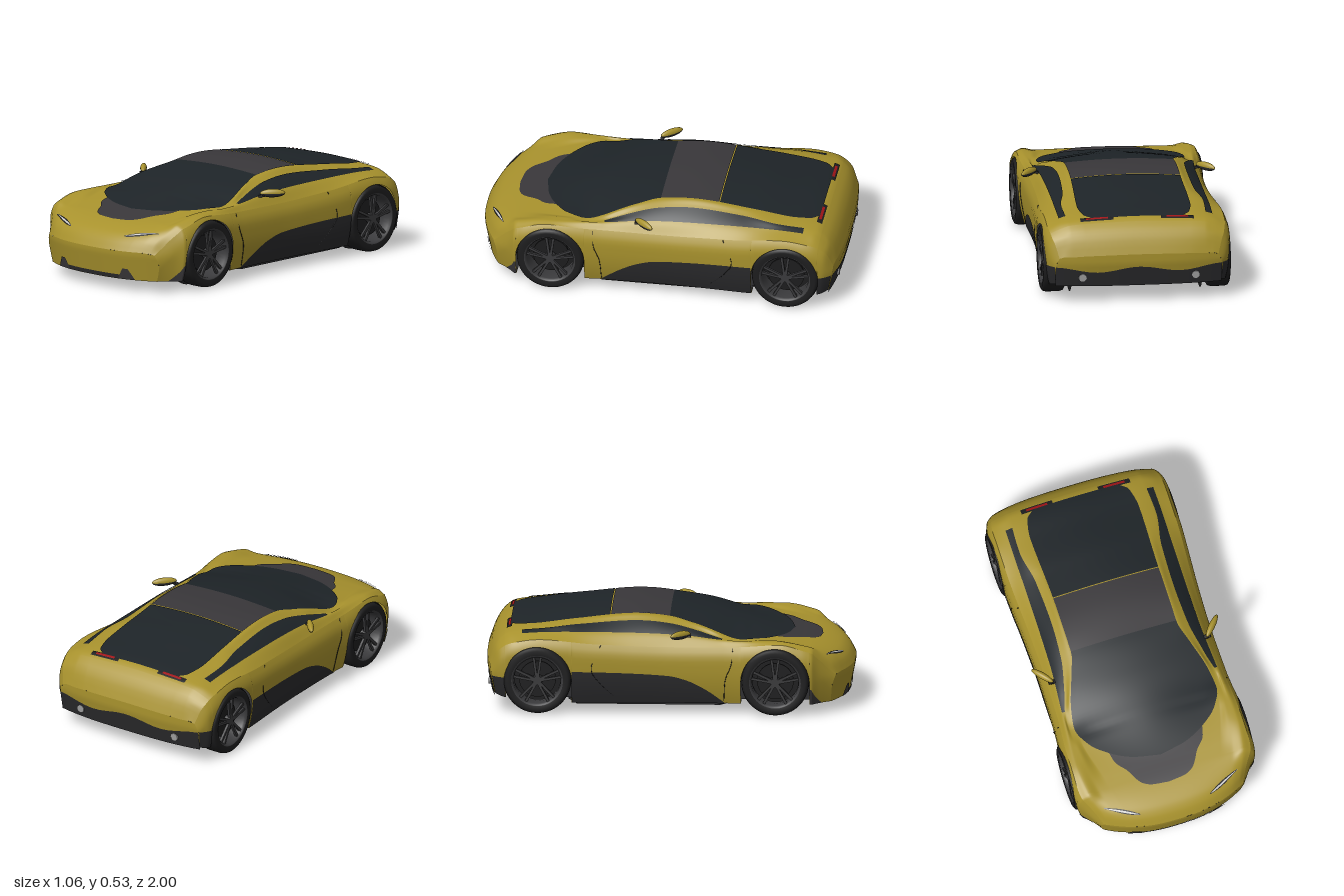
import * as THREE from 'three';

const PAINT = 0xa8922d, GLASS = 0x1e2428, TRIM = 0x39373a, DARK = 0x2a2a2c, TYRE = 0x1d1d1e, RIM = 0x3a3a3c;
const mat = (color) => new THREE.MeshStandardMaterial({ color, side: THREE.DoubleSide });
const clamp = (v, a = 0, b = 1) => Math.min(b, Math.max(a, v));
const lerp = (a, b, t) => a + (b - a) * t;

// Smooth curve through [t, value] points that never overshoots them
function curve(pts) {
  const n = pts.length, d = [];
  for (let i = 0; i < n - 1; i++) d.push((pts[i + 1][1] - pts[i][1]) / (pts[i + 1][0] - pts[i][0]));
  const m = pts.map((p, i) => i === 0 ? d[0] : i === n - 1 ? d[n - 2]
    : d[i - 1] * d[i] > 0 ? 2 * d[i - 1] * d[i] / (d[i - 1] + d[i]) : 0);
  return (t) => {
    t = clamp(t, pts[0][0], pts[n - 1][0]);
    let i = 0;
    while (i < n - 2 && t > pts[i + 1][0]) i++;
    const h = pts[i + 1][0] - pts[i][0], s = (t - pts[i][0]) / h, s2 = s * s, s3 = s2 * s;
    return (2 * s3 - 3 * s2 + 1) * pts[i][1] + (s3 - 2 * s2 + s) * h * m[i]
      + (3 * s2 - 2 * s3) * pts[i + 1][1] + (s3 - s2) * h * m[i + 1];
  };
}

// Feature lines of the body along z: centre, glass edge, roof rail, belt, shoulder, side
const yC = curve([[-1, .27], [-.97, .35], [-.93, .405], [-.87, .445], [-.7, .475], [-.5, .505], [-.2, .527],
  [0, .515], [.2, .485], [.4, .44], [.65, .378], [.82, .345], [.92, .31], [.97, .27], [1, .22]]);
const xG = curve([[-1, .28], [-.7, .31], [0, .30], [.3, .39], [.45, .39], [.7, .33], [1, .25]]);
const dG = curve([[-1, .005], [-.87, .01], [-.5, .02], [-.1, .01], [.15, .025], [.35, .045], [.5, .02], [.7, 0], [1, 0]]);
const xR = curve([[-1, .36], [-.85, .37], [-.65, .38], [-.45, .345], [-.2, .335], [0, .345], [.2, .39], [.35, .43], [.6, .41], [1, .32]]);
const dR = curve([[-1, .005], [-.6, .012], [-.2, .02], [.2, .02], [.35, .01], [.6, -.015], [.8, 0], [1, 0]]);
const xB = curve([[-1, .40], [-.8, .42], [0, .425], [.3, .44], [.6, .455], [.8, .43], [1, .37]]);
const yB = curve([[-1, .26], [-.95, .36], [-.85, .42], [-.6, .435], [-.2, .43], [.1, .42], [.3, .405], [.6, .402], [.75, .375], [.88, .32], [.96, .27], [1, .215]]);
const yS = curve([[-1, .25], [-.95, .34], [-.85, .39], [-.7, .41], [-.4, .385], [0, .37], [.35, .375], [.6, .392], [.75, .355], [.88, .3], [1, .21]]);
const W = curve([[-1, .46], [-.93, .495], [-.8, .512], [-.6, .512], [-.2, .495], [0, .49], [.3, .495], [.5, .51], [.72, .513], [.8, .5], [.9, .465], [1, .42]]);
const yBot = curve([[-1, .1], [-.9, .085], [-.5, .06], [1, .06]]);

// Wheel arches
const AXLES = [.58, -.714], ARCH = .187, HUB = .184;
const lowEdge = (z) => AXLES.reduce((y, a) => Math.abs(z - a) < ARCH ? HUB + Math.sqrt(ARCH ** 2 - (z - a) ** 2) : y, yBot(z));

const columns = (z) => [0, xG(z), xR(z), xB(z), W(z) - .025];
const topX = (u, z) => {
  const c = columns(z), i = Math.min(3, Math.floor(u));
  return lerp(c[i], c[i + 1], u - i);
};
const topY = (x, z) => {
  const [, g, r, b, s] = columns(z), yg = yC(z) - dG(z);
  return curve([[-g, yg], [0, yC(z)], [g, yg], [r, yg - dR(z)], [b, yB(z)], [s, yS(z)]])(Math.abs(x));
};
const sideX = (y, z) => W(z) - .025 * (1 - clamp((yS(z) - y) / .08)) ** 2 - .03 * clamp((.25 - y) / .19) ** 2;

// Bows the nose and tail in plan and tucks them in below the bumper line
function warp(x, y, z) {
  const f = clamp((z - .78) / .22), r = clamp((-z - .8) / .2) ** 2;
  return [x, y, z - f * (.11 * Math.abs(x / .42) ** 2.5 + Math.max(0, .2 - y) * .2)
    + r * (.035 * Math.abs(x / .46) ** 3 + Math.max(0, .22 - y) * .2)];
}

export function createModel() {
  const car = new THREE.Group();
  car.name = 'sportsCar';
  const add = (name, geo, color, parent = car) => {
    const mesh = new THREE.Mesh(geo, mat(color));
    mesh.name = name;
    parent.add(mesh);
    return mesh;
  };
  // Surface patch from fn(u, v), both 0..1
  const patch = (name, color, nu, nv, fn) => {
    const pos = [], idx = [];
    for (let j = 0; j <= nv; j++) for (let i = 0; i <= nu; i++) {
      pos.push(...warp(...fn(i / nu, j / nv)));
      if (i < nu && j < nv) {
        const a = j * (nu + 1) + i, b = a + nu + 1;
        idx.push(a, b, a + 1, b, b + 1, a + 1);
      }
    }
    const g = new THREE.BufferGeometry();
    g.setAttribute('position', new THREE.Float32BufferAttribute(pos, 3));
    g.setIndex(idx);
    g.computeVertexNormals();
    return add(name, g, color);
  };
  // Panels lying on the top, side and end surfaces
  const onTop = (name, color, z0, z1, lo, hi, off, nu = 20, nv = 40) => patch(name, color, nu, nv, (u, v) => {
    const z = lerp(z0, z1, Math.sin(v * Math.PI / 2)), x = lerp(lo(z), hi(z), u);
    return [x, topY(x, z) + off, z];
  });
  const onSide = (name, color, k, z0, z1, hi, off) => patch(name, color, 6, 40, (u, v) => {
    const z = lerp(z0, z1, v), lo = lowEdge(z), y = lerp(lo, Math.max(lo, hi(z)), u);
    return [k * (sideX(y, z) + off), y, z];
  });
  const onEnd = (name, color, z, x0, x1, lo, hi) => patch(name, color, 20, 4, (u, v) => {
    const x = lerp(x0, x1, u);
    return [x, lerp(lo(u), hi(u), v), z];
  });

  // Stations, with pairs at the arch edges for a crisp opening
  const zs = Array.from({ length: 161 }, (_, i) => -1 + i / 80);
  for (const a of AXLES) for (const e of [-1, 1]) zs.push(a + e * ARCH * .9999, a + e * ARCH * 1.0001, a + e * ARCH * .985);
  zs.sort((a, b) => a - b);
  const NZ = zs.length - 1, at = (v) => zs[Math.round(v * NZ)];

  // Painted shell
  patch('upperBody', PAINT, 48, NZ, (u, v) => {
    const z = at(v), s = u * 8 - 4, x = Math.sign(s) * topX(Math.abs(s), z);
    return [x, topY(x, z), z];
  });
  for (const k of [1, -1]) patch('bodySide', PAINT, 12, NZ, (u, v) => {
    const z = at(v), y = lerp(lowEdge(z), yS(z), u);
    return [k * sideX(y, z), y, z];
  });
  for (const z of [1, -1]) patch(z > 0 ? 'noseFascia' : 'tailFascia', PAINT, 32, 10, (u, v) => {
    const s = u * 2 - 1, y = lerp(yBot(z), topY(s * (W(z) - .025), z), v);
    return [s * sideX(y, z), y, z];
  });

  // Glass canopy and trim
  const glassX = curve([[-.87, .24], [-.82, .29], [-.7, .31], [-.3, .30], [0, .30], [.12, .335], [.3, .392], [.4, .405],
    [.5, .36], [.58, .27], [.64, .15], [.67, 0]]);
  const trimX = curve([[.56, .27], [.64, .25], [.7, .2], [.78, .15], [.81, .1], [.822, 0]]);
  const neg = (f) => (z) => -f(z);
  onTop('windscreen', GLASS, 0, .67, neg(glassX), glassX, .005);
  onTop('roofPanel', TRIM, -.32, 0, neg(glassX), glassX, .005);
  onTop('rearWindow', GLASS, -.325, -.87, neg(glassX), glassX, .005);
  onTop('bonnetTrim', TRIM, .56, .822, neg(trimX), trimX, .003);

  // Underfloor, narrowed between the wheels
  patch('underfloor', DARK, 8, NZ, (u, v) => {
    const z = at(v), y = yBot(z), x = lowEdge(z) > y + .01 ? .36 : sideX(y, z);
    return [(u * 2 - 1) * x, y, z];
  });
  const tray = new THREE.Shape([[-.36, .36], [.36, .36], [.45, .28], [.45, -.5], [.34, -.55], [-.34, -.55], [-.45, -.5], [-.45, .28]]
    .map(([x, z]) => new THREE.Vector2(x, -z)));
  add('floorTray', new THREE.ExtrudeGeometry(tray, { depth: .014, bevelEnabled: false }).rotateX(-Math.PI / 2).translate(0, .047, 0), DARK);

  // Bumper details
  onEnd('lowerGrille', DARK, 1.004, -.2, .2, () => .062, () => .085);
  onEnd('rearDiffuser', DARK, -1.004, -.455, .455, () => .09, (u) => .185 + .015 * Math.cos(u * Math.PI * 4));
  const skirtTop = curve([[-.53, .238], [-.3, .232], [0, .215], [.1, .19], [.2, .14], [.31, .06]]);

  for (const k of [1, -1]) {
    onEnd('airIntake', TRIM, 1.006, k * .18, k * .28, () => .062, (u) => .064 + .058 * clamp(Math.min(u, 1 - u) * 3));
    onSide('sideSkirt', DARK, k, -.526, .31, skirtTop, .004);
    onSide('rearSkirt', DARK, k, -1, -.903, () => .2, .004);
    onSide('frontCornerTrim', TRIM, k, .769, .93, (z) => lerp(.15, .06, (z - .769) / .161), .004);

    // Side window between roof rail and belt
    patch('sideWindow', GLASS, 6, 60, (u, v) => {
      const z = lerp(-.8, .29, v), x = topX(2 + lerp(.12, .93, u), z);
      return [k * (x + .004), topY(x, z) + .003, z];
    });

    // Lamps
    const lampZ = (x) => lerp(.948, .9, (x - .2) / .18);
    for (const [name, color, w, off] of [['headlightSurround', TYRE, .013, .003], ['headlight', 0xcccccc, .006, .006]])
      patch(name, color, 16, 4, (u, v) => {
        const x = lerp(.2, .38, u), z = lampZ(x) + (v - .5) * 2 * w * Math.sin(Math.PI * lerp(.06, .94, u));
        return [k * x, topY(x, z) + off, z + off];
      });
    onTop('tailLightSurround', TYRE, -.86, -.89, () => k * .13, () => k * .31, .005, 8, 4);
    onTop('tailLight', 0xa01418, -.868, -.882, () => k * .16, () => k * .28, .008, 8, 4);
    add('exhaustTip', new THREE.CylinderGeometry(.022, .022, .04, 16).rotateX(Math.PI / 2).translate(k * .31, .14, -.965), 0x9a9a9a);

    // Door seams
    for (const pts of [[[.35, .37], [.34, .28], [.31, .2], [.3, .075]], [[-.37, .38], [-.42, .25], [-.38, .18], [-.3, .1]]]) {
      const path = new THREE.CatmullRomCurve3(pts.map(([z, y]) => new THREE.Vector3(k * (sideX(y, z) + .003), y, z)));
      add('doorSeam', new THREE.TubeGeometry(path, 24, .002, 5), TYRE);
    }

    // Door mirror
    const mirror = new THREE.Group();
    mirror.name = 'doorMirror';
    mirror.position.set(k * .483, .44, .065);
    mirror.rotation.y = k * .85;
    add('mirrorShell', new THREE.SphereGeometry(1, 20, 10, 0, Math.PI * 2, 0, Math.PI / 2).scale(.07, .025, .018), PAINT, mirror);
    add('mirrorBase', new THREE.SphereGeometry(1, 20, 10, 0, Math.PI * 2, Math.PI / 2, Math.PI / 2).scale(.068, .022, .017), DARK, mirror);
    car.add(mirror);
    add('mirrorArm', new THREE.BoxGeometry(.05, .012, .02).rotateZ(k * .2).translate(k * .437, .425, .11), DARK);

    // Wheels and wheel wells
    for (const a of AXLES) {
      const well = new THREE.CylinderGeometry(ARCH, ARCH, .135, 32, 1, true, -Math.PI / 2, Math.PI)
        .rotateX(-Math.PI / 2).rotateY(Math.PI / 2);
      well.computeBoundingBox();
      if (well.boundingBox.max.y < .1) well.rotateX(Math.PI);
      add('wheelWell', well.translate(k * .425, HUB, a), TYRE);
      add('wellWall', new THREE.CircleGeometry(ARCH, 32).rotateY(Math.PI / 2).translate(k * .357, HUB, a), TYRE);

      const wheel = new THREE.Group();
      wheel.name = a > 0 ? 'frontWheel' : 'rearWheel';
      wheel.position.set(k * .452, HUB, a);
      wheel.rotation.y = k > 0 ? 0 : Math.PI;
      const lathe = (pts, seg) => new THREE.LatheGeometry(pts.map((p) => new THREE.Vector2(...p)), seg).rotateZ(-Math.PI / 2);
      add('tyre', lathe([[.134, -.058], [.165, -.063], [.179, -.055], [.184, -.035], [.184, .035], [.179, .053], [.165, .061], [.136, .056]], 48), TYRE, wheel);
      add('rim', lathe([[.13, -.058], [.125, 0], [.128, .045], [.136, .057], [.141, .058]], 40), RIM, wheel);
      add('brakeDisc', new THREE.CylinderGeometry(.1, .1, .012, 32).rotateZ(Math.PI / 2), TYRE, wheel);
      add('hub', new THREE.CylinderGeometry(.024, .03, .03, 20).rotateZ(-Math.PI / 2).translate(.034, 0, 0), RIM, wheel);
      add('axleStub', new THREE.CylinderGeometry(.05, .05, .09, 20).rotateZ(Math.PI / 2).translate(-.045, 0, 0), DARK, wheel);
      for (let i = 0; i < 5; i++) for (const e of [-1, 1]) {
        const spoke = new THREE.BoxGeometry(.014, .115, .014).rotateX(e * .13).translate(.042, .075, e * .012);
        add('spoke', spoke.rotateX(i * Math.PI * 2 / 5), RIM, wheel);
      }
      car.add(wheel);
    }
  }
  return car;
}
